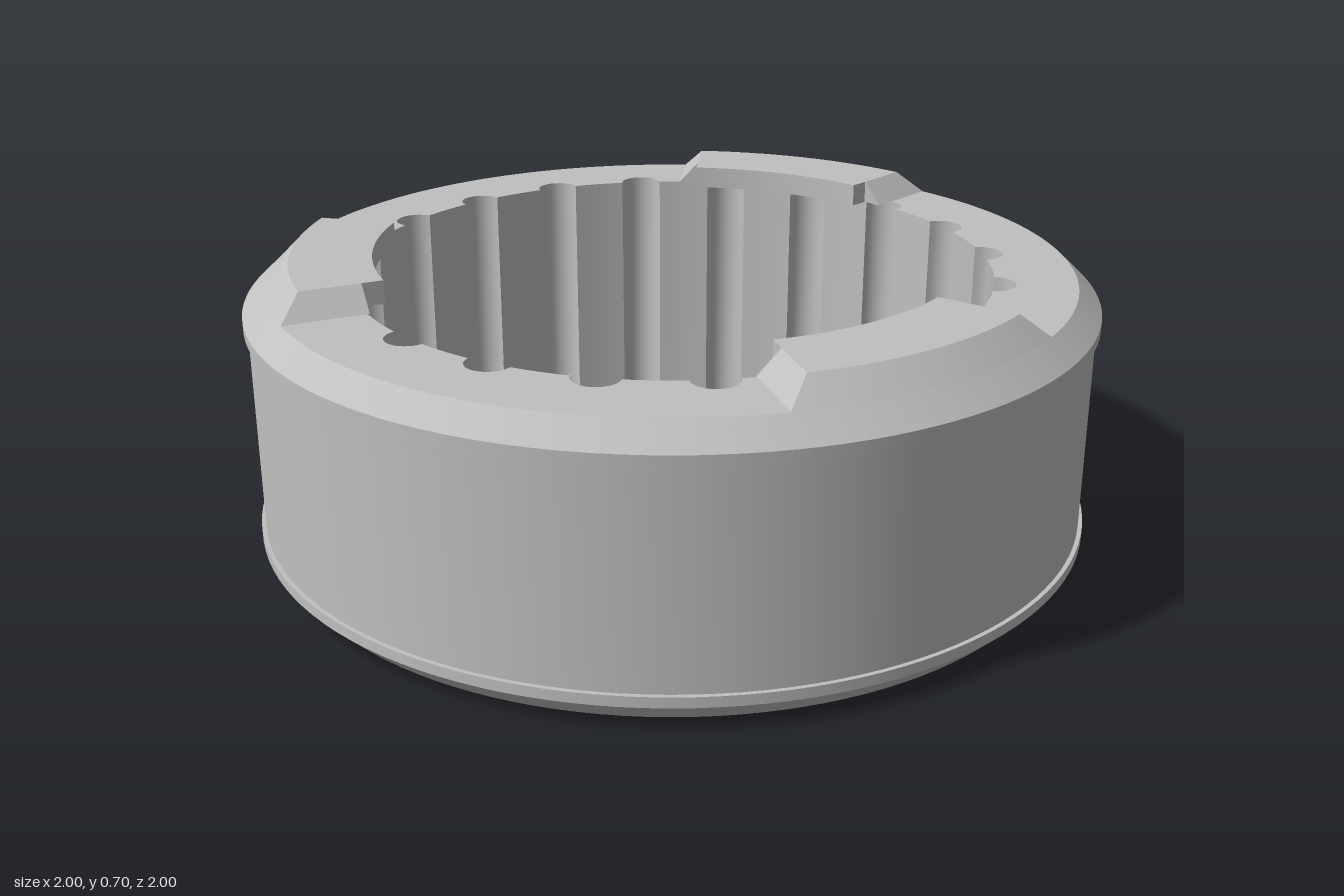
import * as THREE from 'three';
import { toCreasedNormals } from 'three/addons/utils/BufferGeometryUtils.js';

const SEGMENTS = 128;
const DEG = Math.PI / 180;
const LOW = 0.65, HIGH = 0.705;      // ring face and tooth face heights
const RIM = 0.945;                   // outer radius of the flat ring face
const BORE = 0.755;

const polar = (r, a, y) => new THREE.Vector3(r * Math.cos(a), y, -r * Math.sin(a));

// Skin a list of cross-sections with quads.
function loft(rows) {
  const pos = [], index = [], n = rows[0].length;
  rows.forEach(row => row.forEach(p => pos.push(p.x, p.y, p.z)));
  for (let i = 0; i < rows.length - 1; i++) {
    for (let j = 0; j < n - 1; j++) {
      const a = i * n + j, b = a + n;
      index.push(a, b, b + 1, a, b + 1, a + 1);
    }
  }
  const g = new THREE.BufferGeometry();
  g.setAttribute('position', new THREE.Float32BufferAttribute(pos, 3));
  g.setIndex(index);
  return toCreasedNormals(g, 30 * DEG);
}

// Bore outline: twenty round grooves separated by arced lands.
function boreOutline() {
  const pts = [], count = 20, step = 360 / count * DEG, r = 0.052;
  const half = Math.asin(r / BORE), centre = BORE * Math.cos(half);
  for (let k = 0; k < count; k++) {
    const a = 12 * DEG + k * step;
    for (let i = 0; i <= 12; i++) {
      const t = a - Math.PI / 2 + Math.PI * i / 12;
      pts.push(new THREE.Vector2(
        centre * Math.cos(a) + r * Math.cos(t),
        centre * Math.sin(a) + r * Math.sin(t)));
    }
    for (let i = 1; i < 4; i++) {
      const t = a + half + (step - 2 * half) * i / 4;
      pts.push(new THREE.Vector2(BORE * Math.cos(t), BORE * Math.sin(t)));
    }
  }
  return pts;
}

// Tooth with sloping ends and a bevelled outer side.
function toothGeometry(half) {
  const inner = 0.75, outer = 0.89, run = 0.051, steps = 14;
  const foot = s => {
    const o = polar(RIM, s * (half + Math.asin(run / RIM)), LOW);
    const i = polar(inner, s * (half + Math.asin(run / inner)), LOW);
    return [o, o, i, i, o];
  };
  const rows = [foot(-1)];
  for (let k = 0; k <= steps; k++) {
    const a = half * (2 * k / steps - 1);
    rows.push([polar(RIM, a, LOW), polar(outer, a, HIGH), polar(inner, a, HIGH),
      polar(inner, a, LOW), polar(RIM, a, LOW)]);
  }
  rows.push(foot(1));
  return loft(rows);
}

// Ledge of a tooth that reaches inward over the grooves.
function ledgeGeometry(half) {
  const s = new THREE.Shape();
  s.absarc(0, 0, 0.75, -half, half, false);
  s.absarc(0, 0, 0.70, half, -half, true);
  s.closePath();
  const g = new THREE.ExtrudeGeometry(s, { depth: HIGH - LOW, bevelEnabled: false, curveSegments: 14 });
  g.rotateX(-Math.PI / 2).translate(0, LOW, 0);
  return toCreasedNormals(g, 30 * DEG);
}

export function createModel() {
  const model = new THREE.Group();
  model.name = 'splinedRing';
  const metal = new THREE.MeshStandardMaterial({ color: 0xc0c0c0 });
  metal.name = 'grey metal';
  const add = (name, geometry, parent = model) => {
    const m = new THREE.Mesh(geometry, metal);
    m.name = name;
    parent.add(m);
    return m;
  };

  // Outer wall with chamfers and two thin lips
  const profile = [[RIM, 0], [1, 0.055], [1, 0.08], [0.99, 0.08], [0.99, 0.572], [1, 0.572], [1, 0.598], [RIM, LOW]]
    .map(([r, y]) => new THREE.Vector2(r, y));
  add('outerWall', toCreasedNormals(new THREE.LatheGeometry(profile, SEGMENTS), 25 * DEG));

  // Flat ring faces, top and bottom
  const outline = boreOutline();
  const ring = new THREE.Shape().absarc(0, 0, RIM, 0, Math.PI * 2, false);
  ring.holes.push(new THREE.Path(outline));
  const face = new THREE.ShapeGeometry(ring, SEGMENTS).rotateX(-Math.PI / 2);
  add('topFace', face.clone().translate(0, LOW, 0));
  const under = face.clone();
  under.setIndex(Array.from(face.index.array).reverse());
  under.computeVertexNormals();
  add('bottomFace', under);

  // Grooved bore
  add('groovedBore', loft([...outline, outline[0]].map(p =>
    [new THREE.Vector3(p.x, LOW, -p.y), new THREE.Vector3(p.x, 0, -p.y)])));

  // Three raised teeth
  const half = 18.9 * DEG;
  const tooth = toothGeometry(half), ledge = ledgeGeometry(half);
  for (let k = 0; k < 3; k++) {
    const group = new THREE.Group();
    group.name = 'tooth' + (k + 1);
    group.rotation.y = (35.1 + 120 * k) * DEG;
    add('toothBody', tooth, group);
    add('toothLedge', ledge, group);
    model.add(group);
  }
  return model;
}
